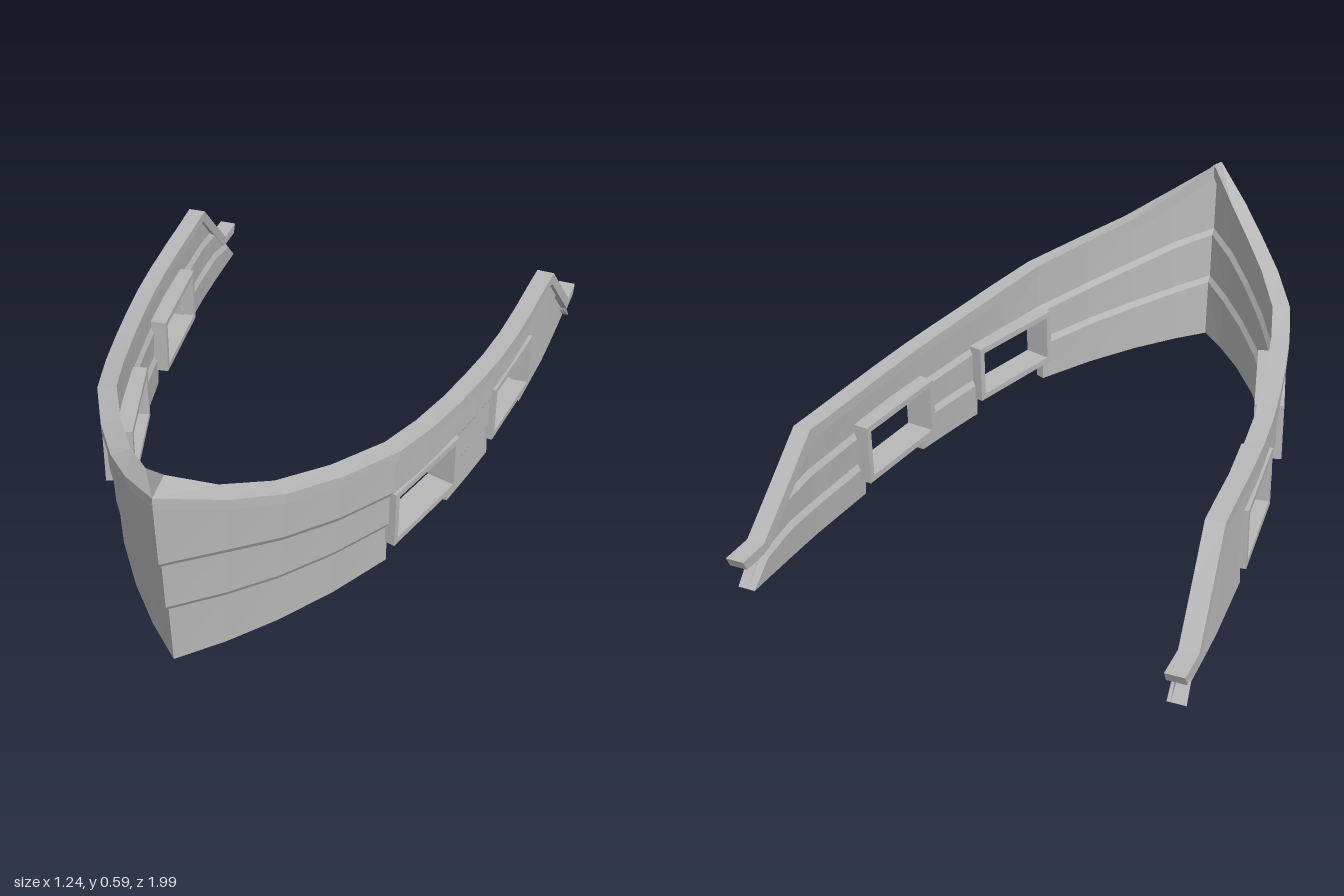
import * as THREE from 'three';

// Stations from bow to stern: x, z of the outer foot, rail top, upper lap, lower lap, flare
const STATIONS = [
  [0, 0.92, 0.572, 0.36, 0.2, 0.016],
  [0.1, 0.82, 0.497, 0.335, 0.183, 0.012],
  [0.2, 0.7, 0.445, 0.3, 0.165, 0.008],
  [0.3, 0.555, 0.412, 0.27, 0.15, 0.004],
  [0.395, 0.385, 0.385, 0.245, 0.135, 0],
  [0.445, 0.24, 0.365, 0.232, 0.125, -0.006],
  [0.485, 0.09, 0.35, 0.224, 0.12, -0.01],
  [0.513, -0.04, 0.342, 0.218, 0.117, -0.012],
  [0.537, -0.165, 0.335, 0.213, 0.113, -0.014],
  [0.556, -0.3, 0.33, 0.21, 0.11, -0.016],
  [0.57, -0.445, 0.328, 0.207, 0.108, -0.018],
  [0.582, -0.6, 0.328, 0.205, 0.106, -0.02],
  [0.588, -0.68, 0.328, 0.204, 0.105, -0.02],
  [0.592, -0.79, 0.218, 0.19, 0.104, -0.02],
  [0.595, -0.905, 0.105, 0.08, 0.08, -0.02],
  [0.596, -0.97, 0.02, 0, 0, -0.02],
].map(([x, z, top, upper, lower, flare]) => ({ x, z, top, upper, lower, flare }));

// Outward plan normal of each station, mitred at the stem
STATIONS.forEach((s, i) => {
  if (i === 0) { s.nx = 0; s.nz = 1.4; return; }
  const a = STATIONS[i - 1], b = STATIONS[Math.min(i + 1, STATIONS.length - 1)];
  const dx = b.x - a.x, dz = b.z - a.z, l = Math.hypot(dx, dz);
  s.nx = -dz / l;
  s.nz = dx / l;
});

const at = (s, off, y, dz = 0) => [s.x + s.nx * off, y, s.z + s.nz * off + dz];

// Skin closed rings (outer side upwards, then inner side downwards)
function loft(rings, capStart = true) {
  const n = rings[0].length, pos = [];
  const quad = (a, b, c, d) => pos.push(...a, ...b, ...c, ...a, ...c, ...d);
  for (let i = 0; i < rings.length - 1; i++) {
    const r = rings[i], q = rings[i + 1];
    for (let j = 0; j < n; j++) {
      const k = (j + 1) % n;
      quad(r[j], q[j], q[k], r[k]);
    }
  }
  const first = rings[0], last = rings[rings.length - 1];
  for (let j = 0; j < n / 2 - 1; j++) {
    const p = n - 1 - j;
    if (capStart) quad(first[j], first[j + 1], first[p - 1], first[p]);
    quad(last[j], last[p], last[p - 1], last[j + 1]);
  }
  const g = new THREE.BufferGeometry();
  g.setAttribute('position', new THREE.Float32BufferAttribute(pos, 3));
  g.computeVertexNormals();
  return g;
}

// Mirrored copy in x with the corner order turned round
function mirrored(geo) {
  const g = geo.index ? geo.toNonIndexed() : geo.clone();
  g.scale(-1, 1, 1);
  const p = g.attributes.position;
  const a = new THREE.Vector3(), b = new THREE.Vector3();
  for (let i = 0; i < p.count; i += 3) {
    a.fromBufferAttribute(p, i + 1);
    b.fromBufferAttribute(p, i + 2);
    p.setXYZ(i + 1, b.x, b.y, b.z);
    p.setXYZ(i + 2, a.x, a.y, a.z);
  }
  g.computeVertexNormals();
  return g;
}

// Lapped planking: each strake stands proud of the one below
function wallRing(s, yMin) {
  const top = Math.max(s.top - 0.02, 0);
  const levels = [[0, 0], [s.lower - 0.018, 0], [s.lower, 1], [s.upper - 0.018, 1], [s.upper, 2], [top, 2]]
    .map(([y, step]) => {
      const h = Math.max(yMin, Math.min(Math.max(y, 0), top));
      return [h, s.flare * h / 0.31 + step * 0.01];
    });
  const outer = levels.map(([y, o]) => at(s, o, y));
  const inner = levels.map(([y, o]) => at(s, o - 0.03, y)).reverse();
  return [...outer, ...inner];
}

// Capping rail: sheer along the side, slope down aft, short level tail
function railRing(s, i) {
  const o = s.flare * Math.min(1, s.top / 0.31) + 0.02;
  const lift = Math.max(0, s.top - 0.328) * 0.06;
  const dz = i >= 12 ? 0.014 : 0;
  const low = s.top - 0.03;
  return [
    at(s, o + 0.012, low, dz), at(s, o + 0.012, s.top),
    at(s, o - 0.04, s.top + lift), at(s, o - 0.04, low, dz),
  ];
}

// Port frame: rectangular sleeve set square to the planking
function portFrame({ x, z, nx, nz, width, bottom, top, slope, depth }) {
  const w = width / 2, bar = 0.018;
  const corners = (m) => [
    [-w + m, bottom + m + slope], [w - m, bottom + m - slope],
    [w - m, top - m - slope], [-w + m, top - m + slope],
  ].map(([px, py]) => new THREE.Vector2(px, py));
  const shape = new THREE.Shape(corners(0));
  shape.holes.push(new THREE.Path(corners(bar).reverse()));
  const g = new THREE.ExtrudeGeometry(shape, { depth, bevelEnabled: false });
  g.translate(0, 0, -depth / 2);
  g.rotateY(Math.atan2(nx, nz));
  g.translate(x, 0, z);
  return g;
}

export function createModel() {
  const model = new THREE.Group();
  model.name = 'bowBulwark';
  const grey = new THREE.MeshStandardMaterial({ color: 0xb8b8b8 });
  grey.name = 'plainGrey';

  const addPair = (name, geo) => {
    [['left', geo], ['right', mirrored(geo)]].forEach(([side, g]) => {
      const mesh = new THREE.Mesh(g, grey);
      mesh.name = side + name;
      model.add(mesh);
    });
  };

  // Planking panels, cut away below the two ports
  const panels = [
    ['BowPlanking', 0, 4, 0], ['ForePortLintel', 4, 6, 0.222],
    ['MiddlePlanking', 6, 8, 0], ['AftPortLintel', 8, 10, 0.222],
    ['AftPlanking', 10, 15, 0],
  ];
  for (const [name, from, to, yMin] of panels) {
    const rings = STATIONS.slice(from, to + 1).map((s) => wallRing(s, yMin));
    addPair(name, loft(rings, from > 0));
  }

  // Capping rail with its tail
  const tail = { ...STATIONS[15], z: -1, top: 0.105 };
  const railStations = [...STATIONS.slice(0, 15), tail];
  addPair('CappingRail', loft(railStations.map(railRing), false));

  // Port frames
  addPair('ForePortFrame', portFrame({
    x: 0.425, z: 0.233, nx: 0.96, nz: 0.28, width: 0.322,
    bottom: 0.063, top: 0.236, slope: 0.004, depth: 0.084,
  }));
  addPair('AftPortFrame', portFrame({
    x: 0.529, z: -0.312, nx: 0.993, nz: 0.117, width: 0.318,
    bottom: 0.058, top: 0.234, slope: 0.002, depth: 0.086,
  }));

  return model;
}
